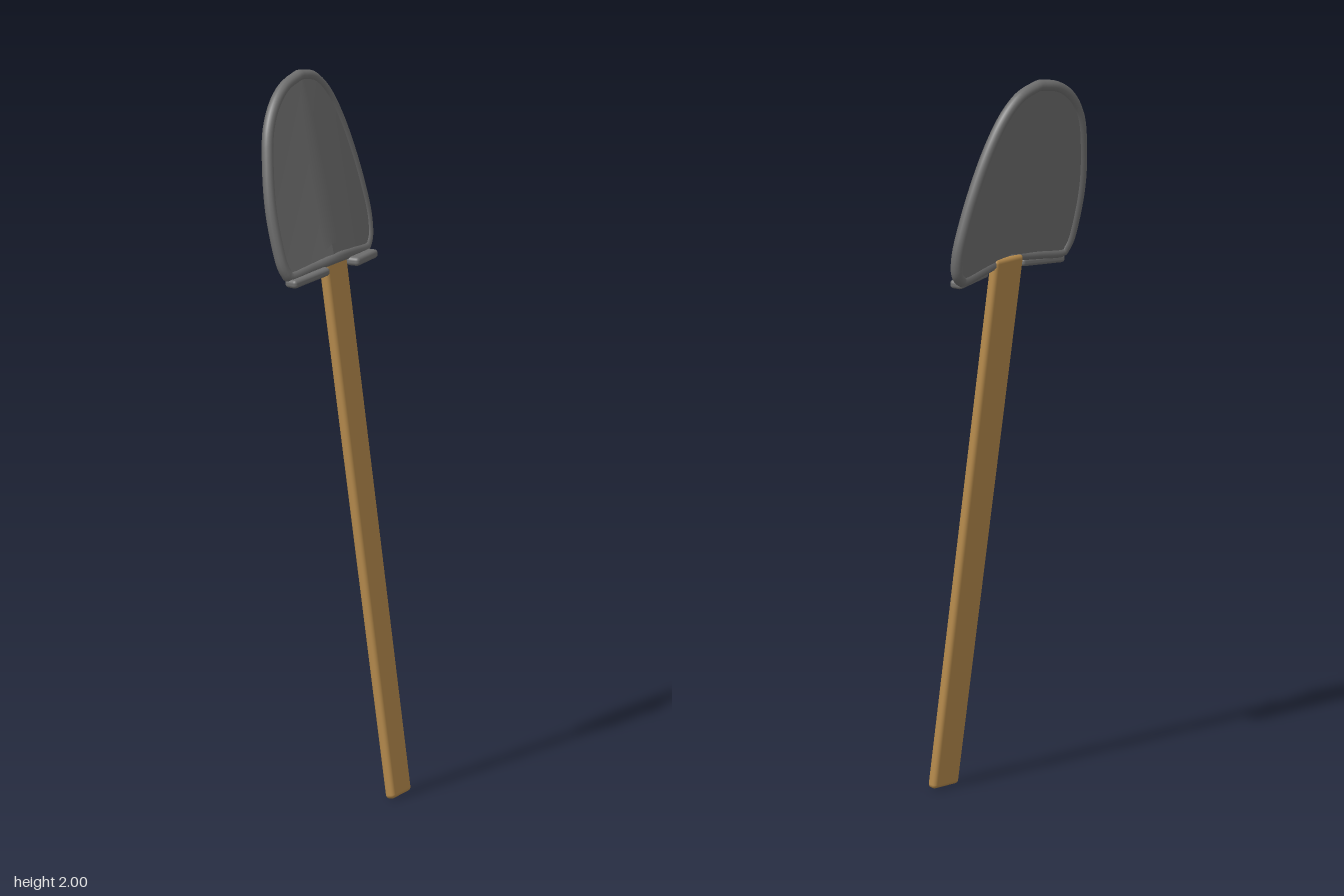
import * as THREE from 'three';
import { toCreasedNormals } from 'three/addons/utils/BufferGeometryUtils.js';
import { RoundedBoxGeometry } from 'three/addons/geometries/RoundedBoxGeometry.js';

const steel = new THREE.MeshStandardMaterial({ color: 0x6e6e6e });
const wood = new THREE.MeshStandardMaterial({ color: 0xb58a4c });
const V = (x, y, z) => new THREE.Vector3(x, y, z);

// Folded sheet: x of the blade for a given height and depth, with a crease down the middle
function bladeX(y, z) {
  const h = (y - 1.5) / 0.5;
  const dz = z - (0.01 + 0.03 * h);
  const slope = dz < 0 ? 0.45 - 0.14 * h : 0.1 + 0.1 * h;
  return 0.002 - 0.1 * h + slope * dz;
}
const onBlade = (z, y) => V(bladeX(y, z), y, z);

// Side outlines, bottom corner to tip, as [z, y]
const spline = (pts) => new THREE.SplineCurve(pts.map(([z, y]) => new THREE.Vector2(z, y)));
const backSide = spline([[-0.205, 1.472], [-0.23, 1.5], [-0.234, 1.56], [-0.215, 1.64], [-0.185, 1.73],
  [-0.142, 1.83], [-0.09, 1.915], [-0.03, 1.967], [0.04, 1.984]]);
const frontSide = spline([[0.195, 1.472], [0.215, 1.51], [0.23, 1.6], [0.234, 1.68], [0.226, 1.77],
  [0.207, 1.86], [0.167, 1.925], [0.11, 1.967], [0.04, 1.984]]);
const crease = spline([[0.01, 1.488], [0.04, 1.984]]);

// Two skins swept upward, each row running outline - crease - outline
function bladeGeometry(thickness) {
  const rows = 32, half = 6, cols = half * 2, pos = [], index = [];
  for (const side of [1, -1]) {
    const base = pos.length / 3;
    for (let i = 0; i <= rows; i++) {
      const [b, c, f] = [backSide, crease, frontSide].map((k) => k.getPoint(i / rows));
      for (let j = 0; j <= cols; j++) {
        const p = j <= half ? b.clone().lerp(c, j / half) : c.clone().lerp(f, j / half - 1);
        const q = onBlade(p.x, p.y);
        pos.push(q.x + side * thickness / 2, q.y, q.z);
      }
    }
    for (let i = 0; i < rows; i++) for (let j = 0; j < cols; j++) {
      const a = base + i * (cols + 1) + j, b = a + cols + 1;
      if (side > 0) index.push(a, b, a + 1, b, b + 1, a + 1);
      else index.push(a, a + 1, b, b, a + 1, b + 1);
    }
  }
  const g = new THREE.BufferGeometry();
  g.setAttribute('position', new THREE.Float32BufferAttribute(pos, 3));
  g.setIndex(index);
  return toCreasedNormals(g, 0.3);
}

// Rounded bar between two points, its width lying along the given direction
function bar(name, a, b, thickness, width, across, radius, material) {
  const g = new RoundedBoxGeometry(thickness, a.distanceTo(b), width, 3, radius);
  const up = a.clone().sub(b).normalize();
  const normal = up.clone().cross(across).normalize();
  const m = new THREE.Mesh(g, material);
  m.name = name;
  m.quaternion.setFromRotationMatrix(new THREE.Matrix4().makeBasis(normal, up, normal.clone().cross(up)));
  m.position.copy(a).add(b).multiplyScalar(0.5);
  return m;
}

export function createModel() {
  const model = new THREE.Group();
  model.name = 'shovel';

  // Flat wooden handle, slightly wider at the top
  const handle = bar('handle', V(-0.015, 1.495, -0.009), V(0.124, 0.001, -0.125), 0.028, 0.108, V(0.31, 0, 0.95), 0.011, wood);
  const hp = handle.geometry.attributes.position;
  for (let i = 0; i < hp.count; i++) hp.setZ(i, hp.getZ(i) * (1.05 + 0.09 * hp.getY(i)));
  model.add(handle);

  // Creased blade
  const blade = new THREE.Mesh(bladeGeometry(0.022), steel);
  blade.name = 'blade';
  model.add(blade);

  // Thick rolled rim around the whole blade
  const n = 24, edge = [];
  for (let i = 0; i <= n; i++) edge.push(backSide.getPoint(i / n));
  for (let i = n - 1; i >= 0; i--) edge.push(frontSide.getPoint(i / n));
  edge.push(new THREE.Vector2(0.1, 1.48), crease.getPoint(0), new THREE.Vector2(-0.1, 1.48));
  const path = new THREE.CatmullRomCurve3(edge.map((p) => onBlade(p.x, p.y)), true);
  const rim = new THREE.Mesh(new THREE.TubeGeometry(path, 160, 0.016, 10, true), steel);
  rim.name = 'rim';
  model.add(rim);

  // Foot treads along the lower edge, either side of the handle
  const treads = [[V(-0.07, 1.457, -0.212), V(-0.012, 1.462, -0.082)], [V(0.037, 1.452, 0.2), V(0.02, 1.465, 0.05)]];
  for (const [a, b] of treads) {
    model.add(bar('footTread', a, b, 0.024, 0.04, V(1, 0, 0), 0.01, steel));
  }
  return model;
}
